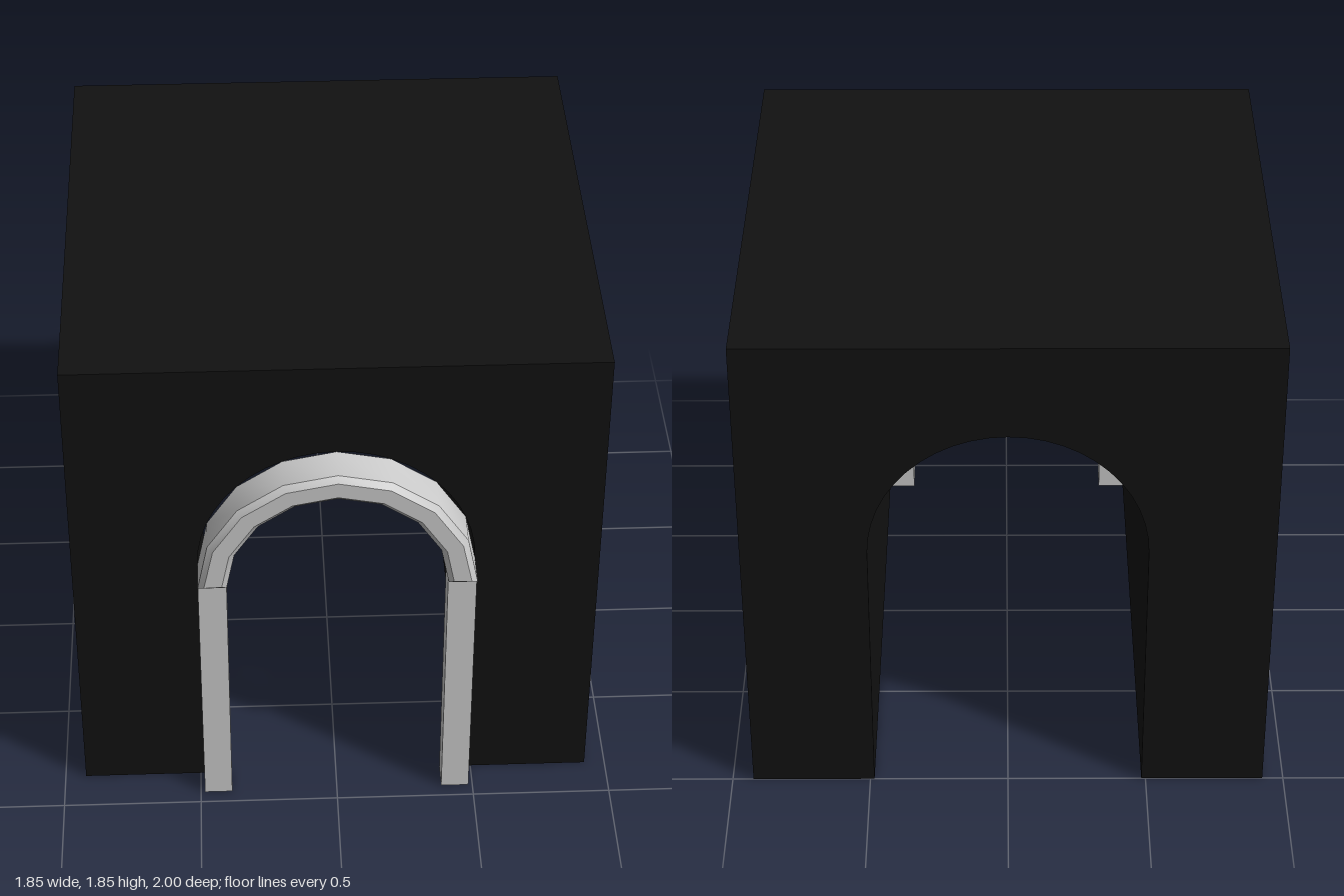
import * as THREE from 'three';
import { toCreasedNormals } from 'three/addons/utils/BufferGeometryUtils.js';

const HALF = 0.925, HEIGHT = 1.85, BACK = -1, FRONT = 0.85;
const SPRING = 1.015, OUTER = 0.485, INNER = 0.385;

// Points along a half circle from +x over the top to -x
function arc(radius, segments) {
  return Array.from({ length: segments + 1 }, (_, i) => {
    const a = (Math.PI * i) / segments;
    return new THREE.Vector2(radius * Math.cos(a), SPRING + radius * Math.sin(a));
  });
}

function addMesh(parent, name, geometry, material) {
  const mesh = new THREE.Mesh(geometry, material);
  mesh.name = name;
  parent.add(mesh);
  return mesh;
}

export function createModel() {
  const model = new THREE.Group();
  model.name = 'tunnelBlock';
  const dark = new THREE.MeshStandardMaterial({ color: 0x111111 });
  const grey = new THREE.MeshStandardMaterial({ color: 0xcccccc });

  // Solid block with an arched passage running from front to back
  const outline = new THREE.Shape([
    new THREE.Vector2(HALF, 0),
    new THREE.Vector2(HALF, HEIGHT),
    new THREE.Vector2(-HALF, HEIGHT),
    new THREE.Vector2(-HALF, 0),
    new THREE.Vector2(-OUTER, 0),
    ...arc(OUTER, 24).reverse(),
    new THREE.Vector2(OUTER, 0),
  ]);
  const blockGeometry = new THREE.ExtrudeGeometry(outline, { depth: FRONT - BACK, bevelEnabled: false });
  const block = addMesh(model, 'block', toCreasedNormals(blockGeometry, Math.PI / 6), dark);
  block.position.z = BACK;

  // Faceted arch trim, chamfered on its front edges only
  const bevel = 0.02, trimDepth = 0.15;
  const trim = new THREE.Shape([...arc(OUTER, 8), ...arc(INNER, 8).reverse()]);
  const trimGeometry = new THREE.ExtrudeGeometry(trim, {
    depth: trimDepth - bevel,
    bevelThickness: bevel,
    bevelSize: bevel,
    bevelOffset: -bevel,
    bevelSegments: 1,
  });
  // Flatten the rear chamfer against the block face
  const p = trimGeometry.attributes.position;
  for (let i = 0; i < p.count; i++) p.setZ(i, Math.max(p.getZ(i), 0));
  const arch = addMesh(model, 'archTrim', toCreasedNormals(trimGeometry, Math.PI / 6), grey);
  arch.position.z = FRONT;

  // Posts carrying the arch
  for (const [name, side] of [['leftPost', 1], ['rightPost', -1]]) {
    const post = addMesh(model, name, new THREE.BoxGeometry(OUTER - INNER, SPRING, 0.1), grey);
    post.position.set((side * (OUTER + INNER)) / 2, SPRING / 2, FRONT + 0.05);
  }

  return model;
}
